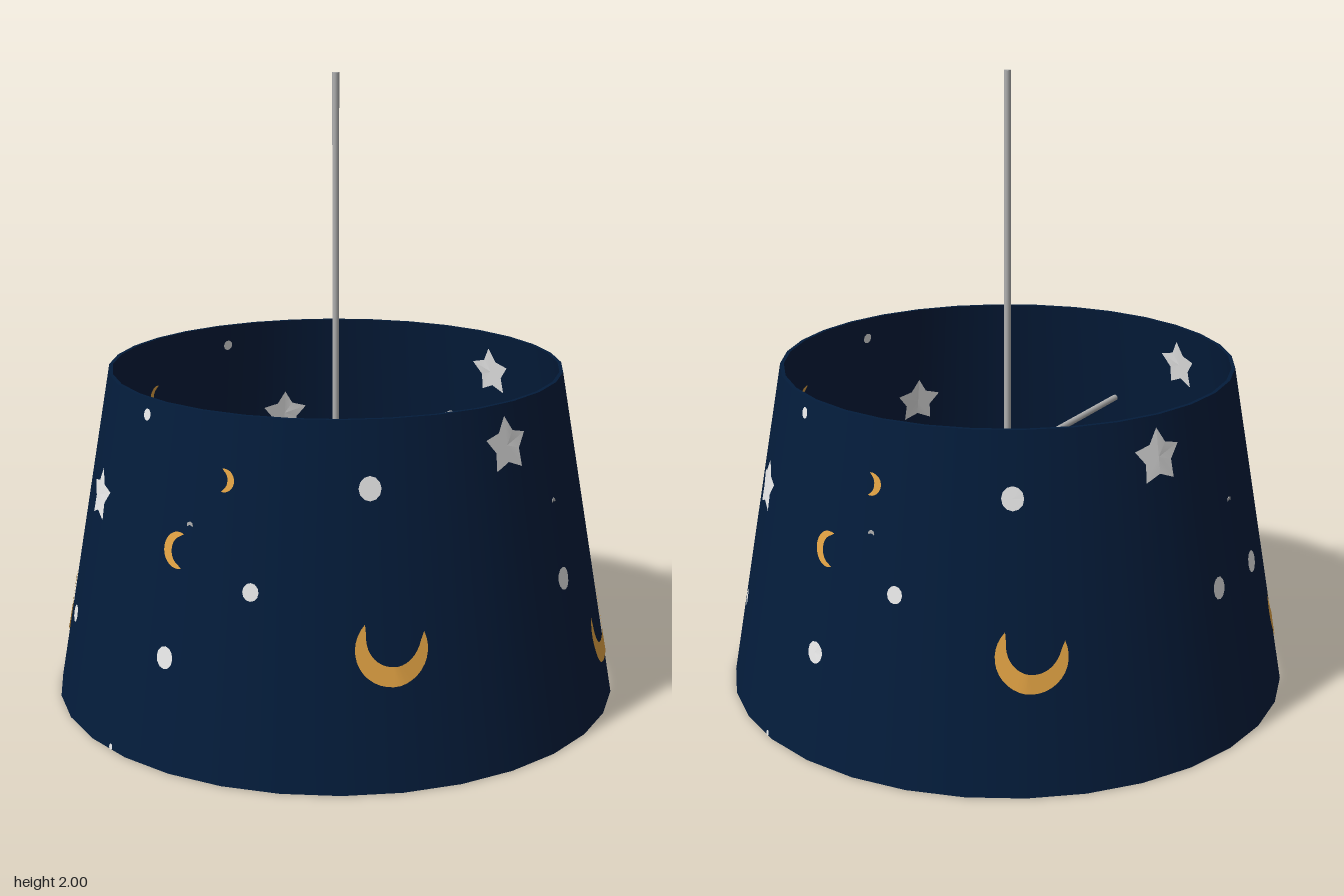
import * as THREE from 'three';

const H = 1.07, R0 = 0.918, R1 = 0.732, WALL = 0.012, SIDES = 32;
const PERIOD = 360 / 2.1; // the print repeats 2.1 times round each wall of the shade

// Point on the faceted shade: angle from +z towards +x, height, offset from the outer wall
function onShade(angle, y, offset) {
  const step = (2 * Math.PI) / SIDES;
  const local = angle - (Math.floor(angle / step) + 0.5) * step;
  const r = ((R0 + (R1 - R0) * (y / H)) * Math.cos(step / 2)) / Math.cos(local) + offset;
  return [r * Math.sin(angle), y, r * Math.cos(angle)];
}

// Each outline is a list of [inner, outer] 2D point pairs running counter-clockwise
function starOutline(size) {
  return Array.from({ length: 11 }, (_, i) => {
    const a = Math.PI / 2 + (i * Math.PI) / 5, r = i % 2 ? size * 0.57 : size;
    return [[0, 0], [r * Math.cos(a), r * Math.sin(a)]];
  });
}

function dotOutline(size) {
  return Array.from({ length: 13 }, (_, i) => {
    const a = (i * Math.PI) / 6;
    return [[0, 0], [size * 0.92 * Math.cos(a), size * Math.sin(a)]];
  });
}

// Crescent whose gap points in the direction "open" (degrees)
function moonOutline(size, open, gap, thick) {
  const n = 24;
  return Array.from({ length: n + 1 }, (_, i) => {
    const t = i / n;
    const a = THREE.MathUtils.degToRad(open + gap + t * (360 - 2 * gap));
    const r = size - thick * Math.pow(Math.max(0, Math.sin(Math.PI * t)), 0.6);
    return [[r * Math.cos(a), r * Math.sin(a)], [size * Math.cos(a), size * Math.sin(a)]];
  });
}

// Wraps an outline onto the shade wall
function decalGeometry(outline, degrees, y, offset, inside) {
  const positions = [], index = [];
  const centre = THREE.MathUtils.degToRad(degrees);
  const radius = R0 + (R1 - R0) * (y / H);
  outline.forEach((pair, i) => {
    for (const [u, v] of pair) positions.push(...onShade(centre + u / radius, y + v, offset));
    if (i === 0) return;
    const p = 2 * i - 2, q = p + 1, p2 = p + 2, q2 = p + 3;
    if (inside) index.push(p, q2, q, p, p2, q2);
    else index.push(p, q, q2, p, q2, p2);
  });
  const g = new THREE.BufferGeometry();
  g.setAttribute('position', new THREE.Float32BufferAttribute(positions, 3));
  g.setIndex(index);
  g.computeVertexNormals();
  return g;
}

export function createModel() {
  const model = new THREE.Group();
  model.name = 'pendantLamp';

  const material = (name, color) => {
    const m = new THREE.MeshStandardMaterial({ color, side: THREE.DoubleSide });
    m.name = name;
    return m;
  };
  const navy = material('navy', 0x031c3b);
  const white = material('white', 0xeeeeee);
  const gold = material('gold', 0xe5a545);
  const metal = material('metal', 0xb2b2b2);
  const cream = material('cream', 0xdcdcae);

  const add = (name, geometry, mat, parent = model) => {
    const mesh = new THREE.Mesh(geometry, mat);
    mesh.name = name;
    parent.add(mesh);
    return mesh;
  };

  // Shade: outer wall, inner wall and the two thin rims
  const shade = new THREE.Group();
  shade.name = 'shade';
  model.add(shade);
  add('outerWall', new THREE.CylinderGeometry(R1, R0, H, SIDES, 1, true), navy, shade).position.y = H / 2;
  add('innerWall', new THREE.CylinderGeometry(R1 - WALL, R0 - WALL, H, SIDES, 1, true), navy, shade).position.y = H / 2;
  for (const [name, r, y, turn] of [['topRim', R1, H, -1], ['bottomRim', R0, 0, 1]]) {
    const rim = add(name, new THREE.RingGeometry(r - WALL, r, SIDES), navy, shade);
    rim.rotation.x = (turn * Math.PI) / 2;
    rim.position.y = y;
  }

  // Night sky print: name, outline, material, degrees from the seam, height
  const print = [
    ['dot', dotOutline(0.035), white, 8.2, 0.497],
    ['moon', moonOutline(0.13, 103, 51, 0.068), gold, 27.7, 0.262],
    ['dot', dotOutline(0.028), white, 48.4, 0.3],
    ['star', starOutline(0.085), white, 55.3, 0.72],
    ['dot', dotOutline(0.018), white, 73.3, 1.022],
    ['dot', dotOutline(0.009), white, 74.2, 0.01],
    ['dot', dotOutline(0.034), white, 86.6, 0.335],
    ['smallMoon', moonOutline(0.054, 0, 70, 0.03), gold, 87.5, 0.656],
    ['smallMoon', moonOutline(0.034, 180, 78, 0.022), gold, 97.7, 0.88],
    ['dot', dotOutline(0.027), white, 105.2, 0.57],
    ['dot', dotOutline(0.036), white, 130, 0.875],
    ['moon', moonOutline(0.108, 80, 56, 0.058), gold, 133.7, 0.415],
    ['star', starOutline(0.087), white, 164.8, 0.948],
  ];
  // The outer seam is at -x, the inner seam at +z, where the print is also slightly shorter
  for (const [name, outline, mat, start, y] of print) {
    for (let a = start; a < 358; a += PERIOD) {
      add(name + 'Outside', decalGeometry(outline, a - 90, y, 0.004, false), mat, shade);
      add(name + 'Inside', decalGeometry(outline, a, 0.03 + 0.945 * y, -WALL - 0.004, true), mat, shade);
    }
  }

  // Hanging rod
  add('rod', new THREE.CylinderGeometry(0.011, 0.011, 1.25, 12), metal).position.y = 1.375;

  // Four spokes from the socket to the shade
  for (let i = 0; i < 4; i++) {
    const g = new THREE.CylinderGeometry(0.011, 0.011, 0.79, 8);
    g.rotateX(Math.PI / 2);
    g.translate(0, 0, 0.395);
    const spoke = add('spoke', g, metal);
    spoke.position.y = 0.735;
    spoke.rotation.y = (i * Math.PI) / 2;
  }

  // Socket: a straight cup with a conical top
  add('socketCup', new THREE.CylinderGeometry(0.105, 0.105, 0.15, 24), metal).position.y = 0.635;
  add('socketTop', new THREE.ConeGeometry(0.105, 0.07, 24, 1, true), metal).position.y = 0.745;

  // Bulb
  add('bulb', new THREE.SphereGeometry(0.162, 32, 20), cream).position.y = 0.45;

  return model;
}
